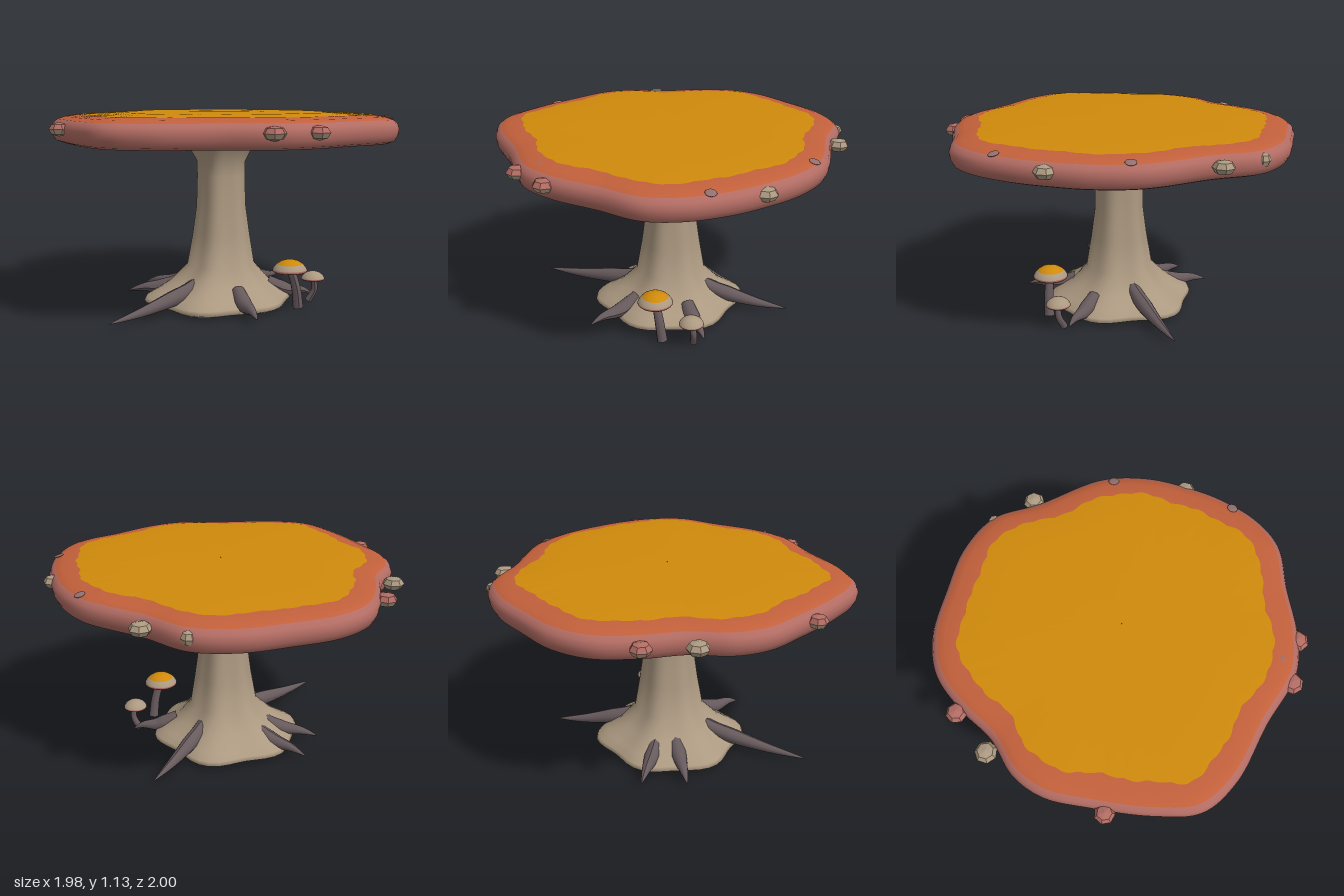
import * as THREE from 'three';

const mat = (name, color) => {
  const m = new THREE.MeshStandardMaterial({ color });
  m.name = name;
  return m;
};
const V = (x, y, z) => new THREE.Vector3(x, y, z);

// Stacks closed rings bottom to top; bands[i] is the material index between ring i and i + 1
function loft(rings, bands) {
  const n = rings[0].length, pos = [], index = [], g = new THREE.BufferGeometry();
  rings.forEach(r => r.forEach(p => pos.push(p.x, p.y, p.z)));
  for (let i = 0; i < rings.length - 1; i++) {
    g.addGroup(index.length, n * 6, bands[i]);
    for (let j = 0; j < n; j++) {
      const a = i * n + j, b = i * n + (j + 1) % n;
      index.push(a, a + n, b, b, a + n, b + n);
    }
  }
  g.setAttribute('position', new THREE.Float32BufferAttribute(pos, 3));
  g.setIndex(index);
  g.computeVertexNormals();
  return g;
}

const roundRing = (n, y, radius, cx = 0, cz = 0) => Array.from({ length: n }, (_, j) => {
  const t = j / n * Math.PI * 2, r = typeof radius === 'function' ? radius(t) : radius;
  return V(cx + r * Math.cos(t), y, cz + r * Math.sin(t));
});

// Tube along a curve, its radius multiplied by taper(u)
function taperedTube(points, radius, taper, sides = 10, steps = 16) {
  const curve = new THREE.CatmullRomCurve3(points);
  const g = new THREE.TubeGeometry(curve, steps, radius, sides);
  const p = g.attributes.position, v = V(0, 0, 0);
  for (let i = 0; i < p.count; i++) {
    const u = Math.floor(i / (sides + 1)) / steps, c = curve.getPointAt(u);
    v.fromBufferAttribute(p, i).sub(c).multiplyScalar(taper(u)).add(c);
    p.setXYZ(i, v.x, v.y, v.z);
  }
  g.computeVertexNormals();
  return g;
}

export function createModel() {
  const yellow = mat('golden top', 0xcf8a0b);
  const orange = mat('orange cap', 0xc2603b);
  const pink = mat('pink rim', 0xb26c63);
  const beige = mat('beige stem', 0xac9981);
  const dark = mat('dark root', 0x675a5d);
  const purple = mat('purple underside', 0x734c70);
  const gillDark = mat('gill', 0x50434f);
  const mauve = mat('mauve blotch', 0x93706f);

  const model = new THREE.Group();
  const add = (name, geometry, material, parent = model) => {
    const m = new THREE.Mesh(geometry, material);
    m.name = name;
    parent.add(m);
    return m;
  };

  // Wavy cap outline as x, z pairs
  const o = [0.08, -1, 0.32, -0.94, 0.51, -0.74, 0.8, -0.48, 0.915, -0.24, 0.953, 0, 0.957, 0.19, 0.915, 0.42,
    0.81, 0.6, 0.59, 0.73, 0.35, 0.88, 0.14, 0.945, -0.18, 0.9, -0.52, 0.867, -0.735, 0.765, -0.85, 0.545,
    -0.94, 0.24, -0.988, 0, -0.95, -0.185, -0.825, -0.37, -0.75, -0.58, -0.63, -0.79, -0.44, -0.915, -0.18, -0.97];
  const corners = [];
  for (let i = 0; i < o.length; i += 2) corners.push(V(o[i], 0, o[i + 1]));
  const outline = new THREE.CatmullRomCurve3(corners, true, 'centripetal').getSpacedPoints(288).slice(0, 288);
  const capRing = (s, y, jag = 0) => outline.map((p, j) => {
    const t = j / 288 * Math.PI;
    const k = s + jag * (Math.abs(Math.sin(t * 45)) + 0.8 * Math.sin(t * 14) + 0.6 * Math.sin(t * 34));
    return V(p.x * k, y, p.z * k);
  });

  // Main cap: hollowed underside, rim, outer ring and scalloped golden middle
  add('cap', loft([
    capRing(0.001, 1.04), capRing(0.3, 1.025), capRing(0.6, 0.985), capRing(0.88, 0.953), capRing(0.945, 0.955),
    capRing(0.978, 0.967), capRing(0.995, 1), capRing(1, 1.035), capRing(0.988, 1.064),
    capRing(0.962, 1.084), capRing(0.92, 1.098), capRing(0.835, 1.109, 0.011),
    capRing(0.6, 1.119), capRing(0.001, 1.122),
  ], [0, 0, 0, 0, 1, 1, 1, 1, 1, 2, 2, 3, 3]), [purple, pink, orange, yellow]);

  // Gills: clusters of three slim ridges following the slope of the underside
  const gills = new THREE.Group();
  gills.name = 'gills';
  model.add(gills);
  const ball = new THREE.SphereGeometry(1, 14, 8);
  const gillCount = 16;
  for (let i = 0; i < gillCount; i++) {
    const cluster = new THREE.Group();
    cluster.name = 'gillCluster';
    cluster.rotation.y = i / gillCount * Math.PI * 2 + 0.1;
    for (const k of [-1, 0, 1]) {
      const m = add('gillRidge', ball, gillDark, cluster);
      m.scale.set(k ? 0.24 : 0.27, 0.014, 0.03);
      m.position.set(0.57, 0.986, k * 0.043);
      m.rotation.set(0, -k * 0.08, -0.125);
    }
    gills.add(cluster);
  }

  // Trunk: lobed flare at the foot, straight neck, funnel reaching into the cap
  const trunk = [[0.01, 0.001, 0], [0.01, 0.38, 0.05], [0.01, 0.38, 0.05], [0, 0.405, 0.05], [0.012, 0.424, 0.05],
    [0.035, 0.415, 0.05], [0.065, 0.365, 0.05], [0.12, 0.285, 0.05], [0.22, 0.195, 0.04], [0.4, 0.165, 0.04],
    [0.57, 0.142, 0.04], [0.75, 0.138, 0.03], [0.83, 0.14, 0.03], [0.9, 0.175, 0.03], [0.96, 0.208, 0.04],
    [1.01, 0.265, 0.05], [1.035, 0.28, 0.05]];
  add('trunk', loft(trunk.map(([y, r, w]) => roundRing(48, y,
    t => r * (1 + w * Math.cos(6 * t + 0.5) + 0.4 * w * Math.sin(4 * t)), -0.015 - 0.02 * Math.max(0, 1 - 4 * y), 0)),
  trunk.slice(1).map(() => 0)), [beige]);

  // Thorn-like roots: tip x, z, then radius and height where each leaves the trunk
  for (const [x, z, r0, y0] of [[-0.7, 0.53, 0.25, 0.125], [0.465, -0.53, 0.24, 0.125], [-0.56, -0.2, 0.32, 0.085],
    [0.085, 0.58, 0.34, 0.075], [-0.43, -0.42, 0.33, 0.08], [0.53, 0.075, 0.34, 0.075]]) {
    const d = Math.hypot(x, z), at = (r, y) => V(x / d * r, y, z / d * r);
    add('root', taperedTube([at(r0 - 0.08, y0 + 0.03), at(r0 + 0.04, y0 - 0.02), at((r0 + d) / 2 + 0.04, 0.05), at(d, 0.025)],
      0.046, u => u < 0.35 ? 0.85 + 0.43 * u : Math.max(0.05, Math.pow((1 - u) / 0.65, 0.75))), dark);
  }

  // Small mushrooms by the foot
  function smallMushroom(x, z, y, r, h, foot, crown) {
    const g = new THREE.Group();
    g.name = 'smallMushroom';
    model.add(g);
    add('smallStem', taperedTube([foot, V((foot.x + x * 2) / 3 + 0.02, y * 0.55, (foot.z + z * 2) / 3), V(x, y + h * 0.4, z)],
      r * 0.27, u => 1.1 - 0.25 * u), dark, g);
    const prof = [[0.01, 0.3], [0.6, 0.15], [0.93, 0], [1, 0.1], [0.98, 0.22], [0.9, 0.42], [0.74, 0.66], [0.5, 0.88], [0.25, 0.98], [0.01, 1]];
    add('smallCap', loft(prof.map(([s, t]) => roundRing(24, y + t * h, s * r, x, z)),
      [0, 0, 1, 1, 2, 2, 3, 3, 3]), [purple, pink, beige, crown], g);
  }
  smallMushroom(0.335, 0.285, 0.215, 0.1, 0.07, V(0.39, 0, 0.27), yellow);
  smallMushroom(0.51, 0.15, 0.132, 0.07, 0.05, V(0.49, 0, 0.125), beige);

  // Faceted knobs around the rim: x, z, radius, colour of the upper half
  const half = (from) => new THREE.SphereGeometry(1, 7, 2, 0, Math.PI * 2, from, Math.PI / 2).toNonIndexed();
  const upper = half(0), lower = half(Math.PI / 2);
  [upper, lower].forEach(g => g.computeVertexNormals());
  for (const [x, z, r, top] of [[0.52, -0.775, 0.06, beige], [-0.77, -0.595, 0.058, pink], [-0.895, -0.36, 0.06, beige],
    [-0.935, 0.32, 0.055, pink], [0.085, 0.94, 0.062, pink], [0.32, 0.885, 0.062, pink],
    [0.93, -0.015, 0.062, beige], [0.31, -0.92, 0.04, beige]]) {
    const knob = new THREE.Group();
    knob.name = 'knob';
    knob.position.set(x, 1.038, z);
    knob.scale.set(r, 0.038, r);
    knob.rotation.y = x * 5 + z;
    add('knobTop', upper, top, knob);
    add('knobBottom', lower, beige, knob);
    model.add(knob);
  }

  // Flat blotches on the shoulder of the cap
  for (const [x, z] of [[0.795, -0.4], [0.905, 0.28], [0.17, 0.86]]) {
    const blotch = add('blotch', ball, mauve);
    blotch.position.set(x, 1.092, z);
    blotch.scale.set(0.03, 0.006, 0.03);
    const a = Math.atan2(z, x);
    blotch.rotation.set(Math.sin(a) * 0.3, 0, -Math.cos(a) * 0.3);
  }
  return model;
}
